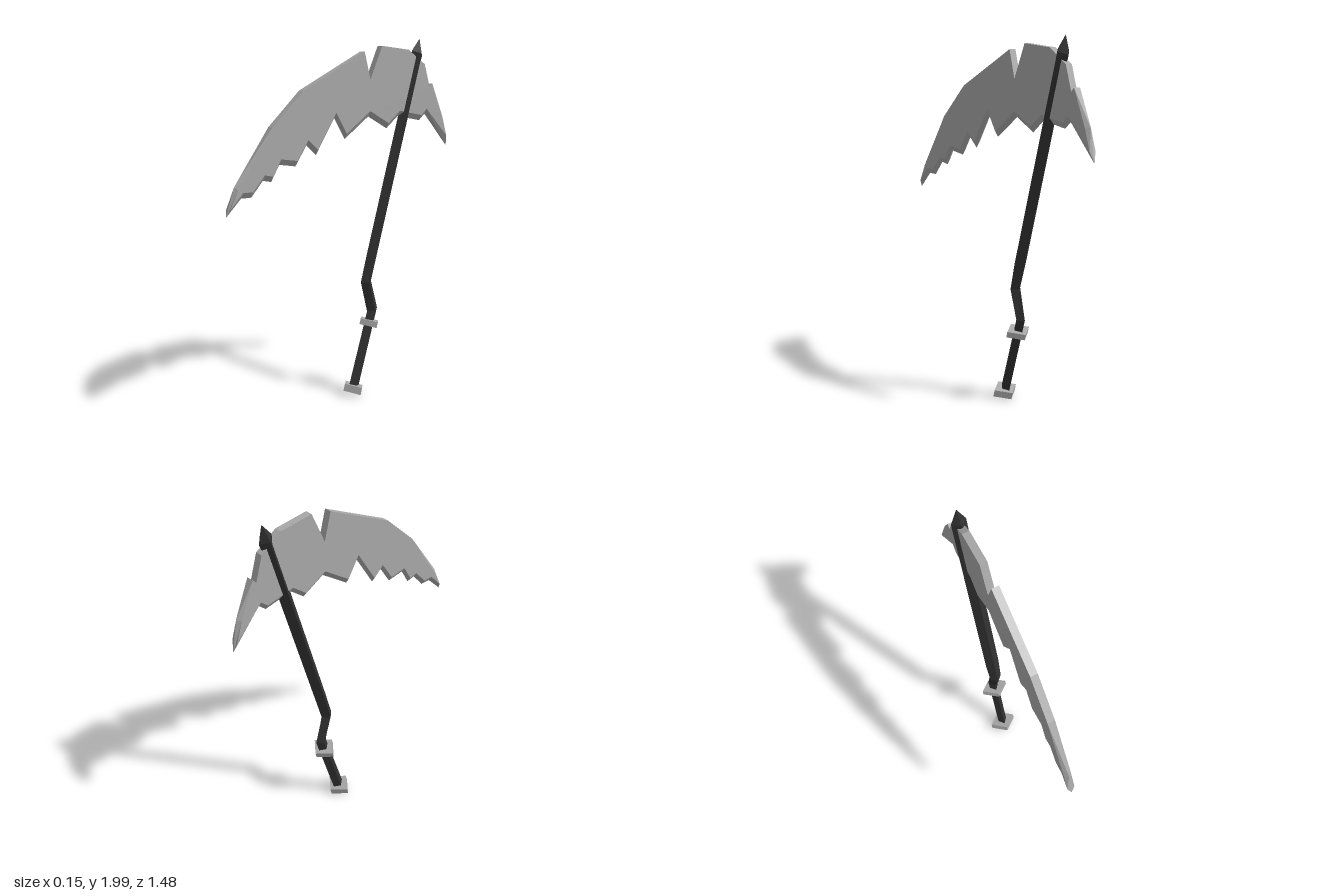
import * as THREE from 'three';

const steel = new THREE.MeshStandardMaterial({ color: 0xa8a8a8, flatShading: true });
steel.name = 'steel';
const darkWood = new THREE.MeshStandardMaterial({ color: 0x303030, flatShading: true });
darkWood.name = 'darkWood';

// Collects quads and triangles, then makes a flat-shaded geometry.
function builder() {
  const pos = [];
  const tri = (a, b, c) => pos.push(...a, ...b, ...c);
  return {
    tri,
    quad: (a, b, c, d) => { tri(a, b, c); tri(a, c, d); },
    geometry: () => {
      const g = new THREE.BufferGeometry();
      g.setAttribute('position', new THREE.Float32BufferAttribute(pos, 3));
      g.computeVertexNormals();
      return g;
    },
  };
}

function addMesh(group, name, geometry, material) {
  const m = new THREE.Mesh(geometry, material);
  m.name = name;
  group.add(m);
  return m;
}

const HALF = 0.02; // half the blade thickness

function bladeGeometry() {
  // Ragged cutting edge, long tip to short tip: [z, y]
  const teeth = [
    [0.65, 1.2], [0.59, 1.2], [0.52, 1.28], [0.47, 1.27], [0.42, 1.355], [0.32, 1.34],
    [0.25, 1.445], [0.19, 1.39], [0.07, 1.58], [0, 1.465], [-0.16, 1.58], [-0.29, 1.51],
    [-0.37, 1.575], [-0.53, 1.545], [-0.57, 1.58],
  ];
  // Blunt spine, short end to long end
  const spine = [
    [-0.61, 1.75], [-0.59, 1.73], [-0.55, 1.86], [-0.43, 1.94], [-0.24, 1.96],
    [-0.16, 1.78], [-0.12, 1.93], [0.28, 1.73], [0.47, 1.55],
  ];
  // Each point: outer z, y, bevel offset dz, dy, half thickness at the outer edge
  const ring = [
    [0.74, 1.11, -0.015, 0.04, 0],
    ...teeth.map(([z, y]) => [z, y, 0, 0.03, 0]),
    [-0.74, 1.39, 0.015, 0.06, 0],
    [-0.71, 1.56, 0.02, 0, 0],
    ...spine.map(([z, y]) => [z, y, 0, 0, HALF]),
    [0.69, 1.26, -0.015, -0.012, 0],
  ];
  const b = builder();
  const inner = (p, s) => [s * HALF, p[1] + p[3], p[0] + p[2]];
  const outer = (p, s) => [s * p[4], p[1], p[0]];

  // Flat cheeks
  const flat = ring.map((p) => new THREE.Vector2(-(p[0] + p[2]), p[1] + p[3]));
  for (const [i, j, k] of THREE.ShapeUtils.triangulateShape(flat, [])) {
    b.tri(inner(ring[i], 1), inner(ring[j], 1), inner(ring[k], 1));
    b.tri(inner(ring[i], -1), inner(ring[k], -1), inner(ring[j], -1));
  }
  // Bevels and spine
  ring.forEach((p, i) => {
    const q = ring[(i + 1) % ring.length];
    if (p[4] === 0 || q[4] === 0) {
      b.quad(inner(p, 1), outer(p, 1), outer(q, 1), inner(q, 1));
      b.quad(outer(p, -1), inner(p, -1), inner(q, -1), outer(q, -1));
    }
    if (p[4] > 0 || q[4] > 0) b.quad(outer(p, 1), outer(p, -1), outer(q, -1), outer(q, 1));
  });
  return b.geometry();
}

function shaftGeometry() {
  // Diamond sections: centre z, y, half width in x, half depth in z, tilt in y
  const sections = [
    [-0.06, 0.04, 0.027, 0.033, 0.008],
    [-0.195, 0.485, 0.027, 0.036, -0.006],
    [-0.15, 0.655, 0.034, 0.036, 0],
    [-0.19, 0.8, 0.04, 0.035, 0.008],
    [-0.5, 1.885, 0.04, 0.035, 0.01],
    [-0.508, 1.92, 0.04, 0.038, 0.015],
    [-0.525, 2, 0.001, 0.001, 0],
  ];
  const rings = sections.map(([z, y, w, d, t]) => [
    [0, y + t, z + d], [w, y, z], [0, y - t, z - d], [-w, y, z],
  ]);
  const b = builder();
  for (let s = 0; s < rings.length - 1; s++) {
    for (let i = 0; i < 4; i++) {
      const j = (i + 1) % 4;
      b.quad(rings[s][i], rings[s][j], rings[s + 1][j], rings[s + 1][i]);
    }
  }
  const [a, c, d, e] = rings[0];
  b.quad(e, d, c, a);
  return b.geometry();
}

export function createModel() {
  const model = new THREE.Group();
  model.name = 'scythe';
  addMesh(model, 'blade', bladeGeometry(), steel);
  addMesh(model, 'shaft', shaftGeometry(), darkWood);

  // Diamond plates at the grip ends
  const plates = [['guard', 0.413, -0.172, 0.033], ['pommel', 0.045, -0.06, 0.04]];
  for (const [name, y, z, thick] of plates) {
    const g = new THREE.CylinderGeometry(0.065, 0.065, thick, 4);
    g.scale(0.077 / 0.065, 1, 1);
    const plate = addMesh(model, name, g, steel);
    plate.position.set(0, y, z);
    plate.rotation.x = -0.26;
  }
  return model;
}
